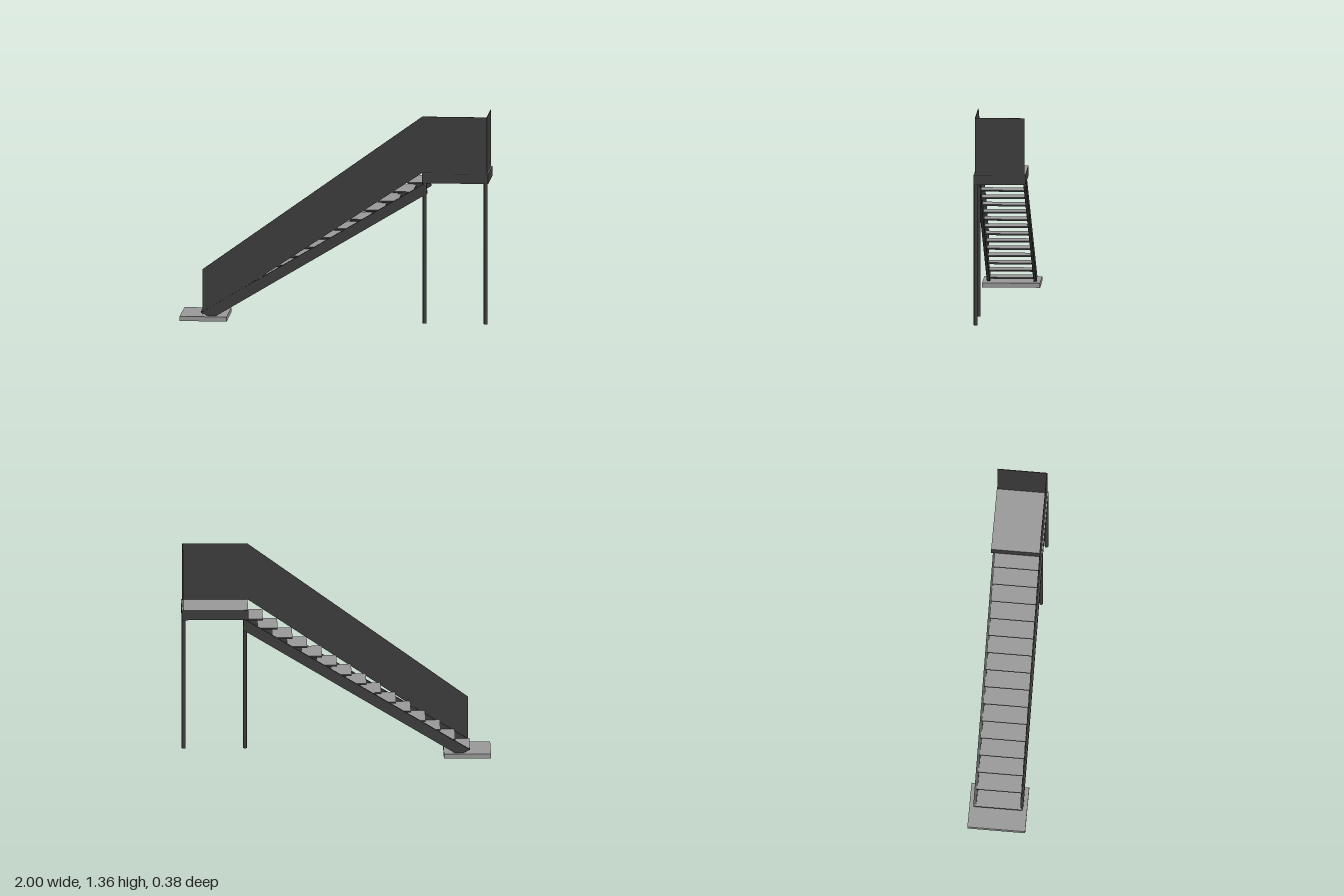
import * as THREE from 'three';

export function createModel() {
  const group = new THREE.Group();
  const dark = new THREE.MeshStandardMaterial({ color: 0x3d3d3d });
  dark.name = 'dark steel';
  const grey = new THREE.MeshStandardMaterial({ color: 0x999999, side: THREE.DoubleSide });
  grey.name = 'grey concrete';
  const greyTop = [dark, dark, grey, dark, dark, dark];

  const add = (name, geometry, material) => {
    const mesh = new THREE.Mesh(geometry, material);
    mesh.name = name;
    group.add(mesh);
    return mesh;
  };

  // Box given by its minimum and maximum corners
  const box = (name, [x0, y0, z0], [x1, y1, z1], material) =>
    add(name, new THREE.BoxGeometry(x1 - x0, y1 - y0, z1 - z0), material)
      .position.set((x0 + x1) / 2, (y0 + y1) / 2, (z0 + z1) / 2);

  // Side outline in x and y, extruded along z
  const plate = (name, points, z, depth) => {
    const shape = new THREE.Shape(points.map(([x, y]) => new THREE.Vector2(x, y)));
    const geometry = new THREE.ExtrudeGeometry(shape, { depth, bevelEnabled: false });
    add(name, geometry.translate(0, 0, z), dark);
  };

  // Base slab: a shallow tray, open underneath
  const slab = new THREE.BoxGeometry(0.305, 0.03, 0.375).toNonIndexed();
  const corners = slab.attributes.position.count;
  for (const name of ['position', 'normal', 'uv']) {
    const a = slab.attributes[name];
    const n = a.itemSize;
    // Leave out the six vertices of the bottom face
    const kept = [...a.array].filter((v, i) => Math.floor(i / n / 6) !== 3);
    slab.setAttribute(name, new THREE.Float32BufferAttribute(kept, n));
  }
  slab.clearGroups();
  slab.setDrawRange(0, corners - 6);
  add('baseSlab', slab, grey).position.set(-0.8475, 0.015, -0.0025);

  // Stringers on both sides of the flight
  const stringer = [[-0.865, 0.053], [-0.79, 0.017], [0.605, 0.852], [0.598, 0.92], [0.57, 0.908]];
  plate('backStringer', stringer, -0.164, 0.02);
  plate('frontStringer', stringer, 0.138, 0.02);

  // Treads with grey tops
  for (let i = 0; i < 15; i++) {
    const x = -0.865 + i * 0.0957;
    const y = 0.061 + i * 0.0615;
    box('tread' + (i + 1), [x, y - 0.01, -0.152], [x + 0.13, y, 0.146], greyTop);
  }

  // Landing and its two legs
  box('landing', [0.57, 0.92, -0.175], [1, 0.985, 0.16], greyTop);
  for (const x of [0.587, 0.983]) {
    add('leg', new THREE.CylinderGeometry(0.0125, 0.0125, 0.93, 12), dark)
      .position.set(x, 0.465, 0.148);
  }

  // Solid balustrade along the front and the end of the landing
  plate('frontBalustrade', [
    [-0.855, 0.038], [0.57, 0.985], [0.57, 0.93], [0.992, 0.93], [0.992, 1.355], [0.572, 1.355], [-0.855, 0.335],
  ], 0.148, 0.004);
  box('endBalustrade', [0.988, 0.93, -0.17], [0.992, 1.355, 0.152], dark);

  return group;
}
